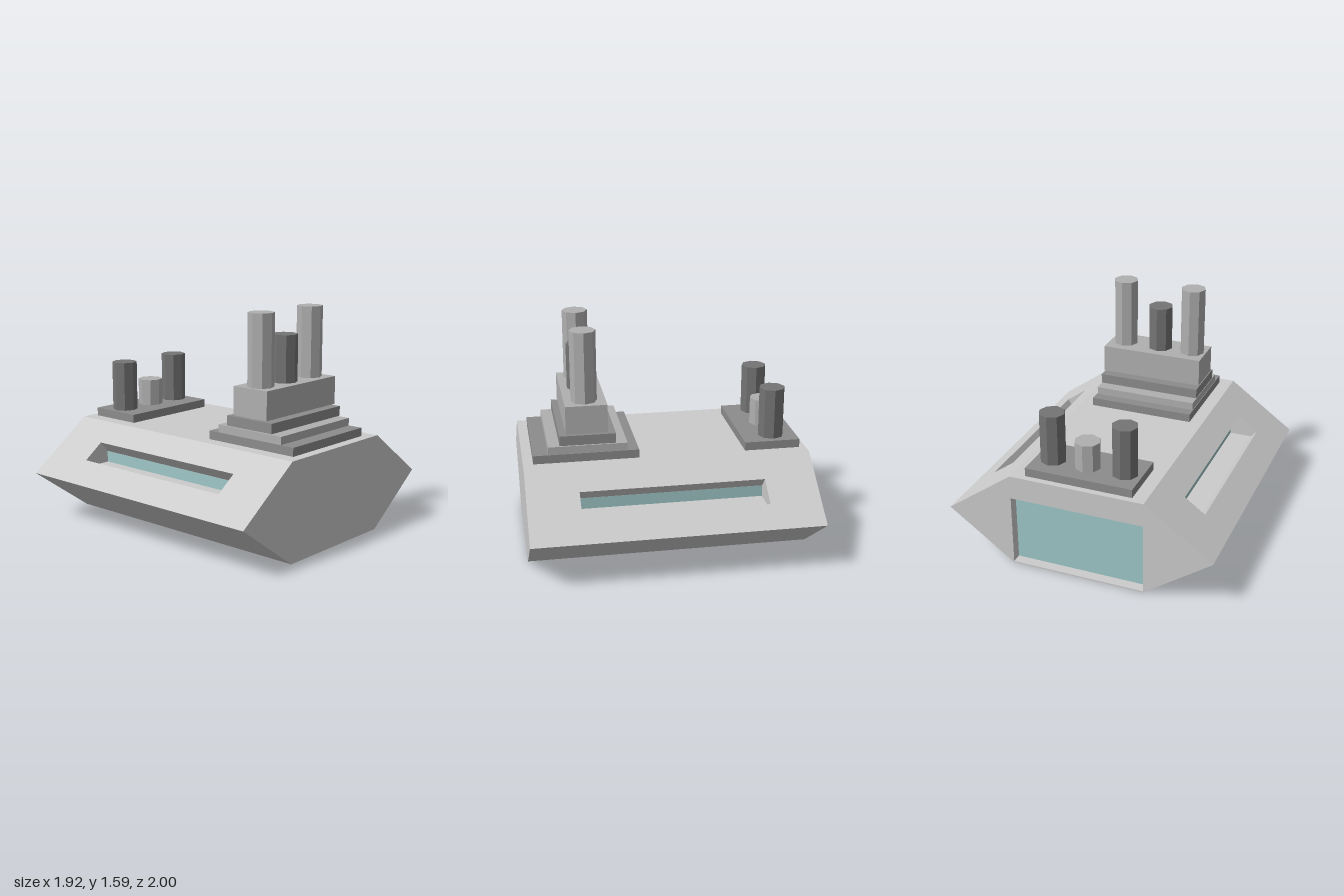
import * as THREE from 'three';

const paint = (color) => new THREE.MeshStandardMaterial({ color, flatShading: true });

export function createModel() {
  const model = new THREE.Group();
  const hullGrey = paint(0xcccccc);
  const light = paint(0xb0b0b0);
  const mid = paint(0x8c8c8c);
  const dark = paint(0x747474);
  const glass = paint(0x9fc8c8);
  glass.side = THREE.DoubleSide;

  const add = (name, geometry, material, x = 0, y = 0, z = 0, parent = model) => {
    const mesh = new THREE.Mesh(geometry, material);
    mesh.name = name;
    mesh.position.set(x, y, z);
    parent.add(mesh);
    return mesh;
  };
  const outline = (points) => new THREE.Shape(points.map(([x, y]) => new THREE.Vector2(x, y)));

  // Hull: six-sided section, extruded in lengths along z
  const right = [[0.96, 0.345]], left = [[-0.96, 0.345]];
  const section = (grooveA = [], grooveB = []) => outline([
    [-0.48, 0], [0.48, 0], ...right, ...grooveA, [0.48, 0.69],
    [-0.48, 0.69], ...grooveB, ...left,
  ]);
  const hull = new THREE.Group();
  hull.name = 'hull';
  model.add(hull);
  const length = (name, shape, z0, z1) =>
    add(name, new THREE.ExtrudeGeometry(shape, { depth: z1 - z0, bevelEnabled: false }), hullGrey, 0, 0, z0, hull);

  // Side slot section, from its lower lip up to its top edge
  const slot = (lip, floor) => [
    [lip, 0.345 + (0.96 - lip) * 0.71875], [floor, 0.42], [0.575, 0.42], [0.575, 0.5], [0.64, 0.575],
  ];
  const slotRight = slot(0.8, 0.775);
  const slotLeft = slot(0.785, 0.74).map(([x, y]) => [-x, y]).reverse();

  // Rear frame around the recessed window
  const frame = section();
  frame.holes.push(outline([[-0.48, 0.01], [-0.48, 0.52], [0.48, 0.52], [0.48, 0.01]]));

  length('hullFront', section(), 0.64, 1);
  length('hullMiddle', section(slotRight, slotLeft), -0.64, 0.64);
  length('hullBack', section(), -0.925, -0.64);
  length('rearFrame', frame, -1, -0.925);

  // Windows
  add('rearWindow', new THREE.PlaneGeometry(0.96, 0.51), glass, 0, 0.265, -0.927).rotation.y = Math.PI;
  for (const side of [1, -1]) {
    add('sideWindow', new THREE.PlaneGeometry(1.28, 0.08), glass, side * 0.577, 0.46, 0).rotation.y = side * Math.PI / 2;
  }

  // Stepped slabs: name, half width, bottom, top, back z, front z, material
  const slabs = [
    ['frontStep1', 0.385, 0.69, 0.75, 0.195, 0.93, mid],
    ['frontStep2', 0.38, 0.75, 0.805, 0.275, 0.825, light],
    ['frontStep3', 0.38, 0.81, 0.88, 0.355, 0.745, mid],
    ['frontBlock', 0.378, 0.89, 1.09, 0.41, 0.7, light],
    ['rearBase', 0.385, 0.69, 0.75, -0.955, -0.56, mid],
  ];
  for (const [name, half, y0, y1, z0, z1, material] of slabs) {
    add(name, new THREE.BoxGeometry(half * 2, y1 - y0, z1 - z0), material, 0, (y0 + y1) / 2, (z0 + z1) / 2);
  }

  // Eight-sided columns: name, x, z, bottom, top, material
  const columns = [
    ['frontColumn', -0.272, 0.56, 0.78, 1.59, light],
    ['frontMiddleColumn', -0.02, 0.56, 0.78, 1.42, dark],
    ['frontColumn', 0.257, 0.56, 0.78, 1.59, light],
    ['rearColumn', -0.265, -0.775, 0.72, 1.11, dark],
    ['rearMiddleColumn', 0.003, -0.775, 0.72, 0.945, light],
    ['rearColumn', 0.257, -0.775, 0.72, 1.11, dark],
  ];
  for (const [name, x, z, y0, y1, material] of columns) {
    add(name, new THREE.CylinderGeometry(0.091, 0.091, y1 - y0, 8), material, x, (y0 + y1) / 2, z);
  }

  return model;
}
